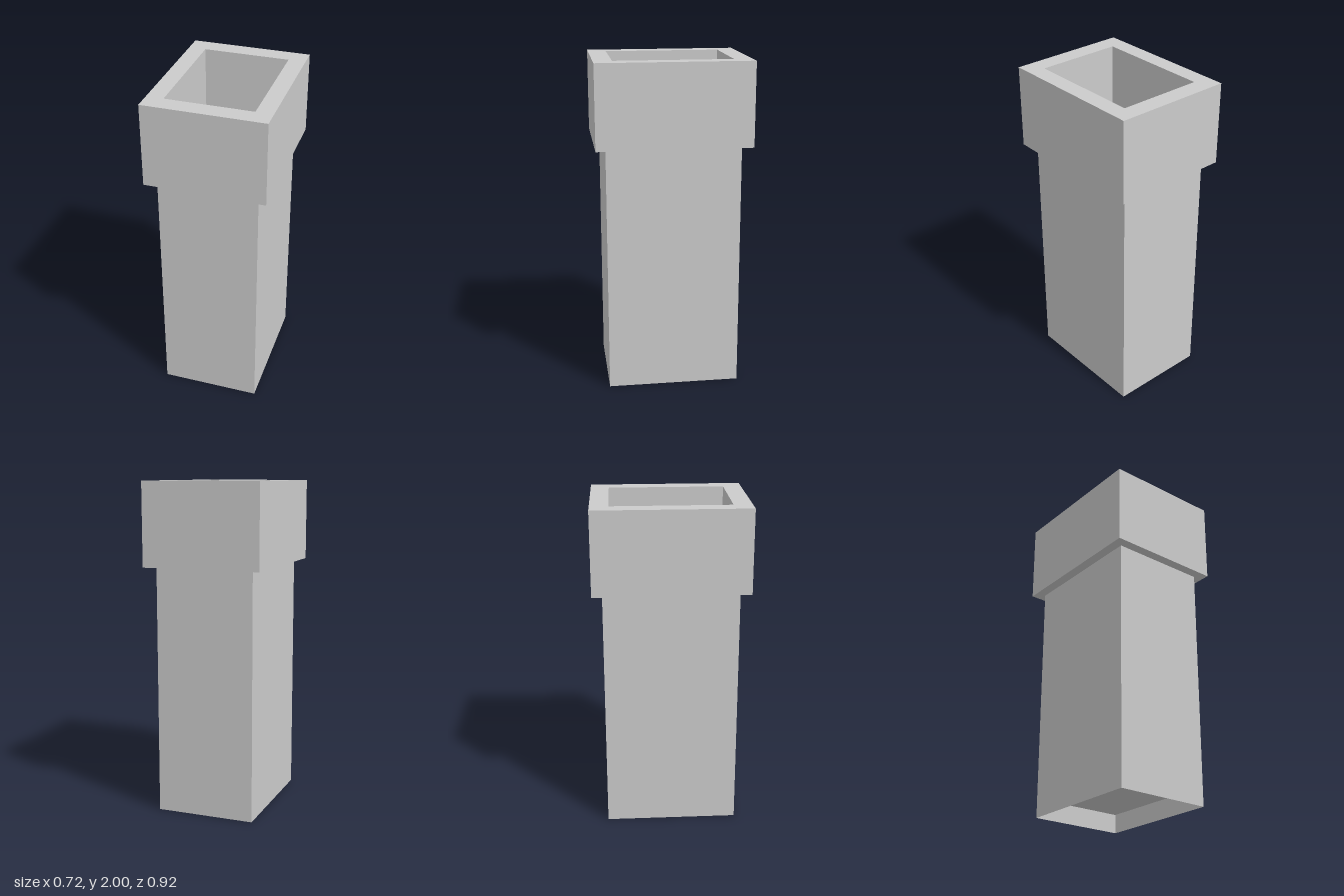
import * as THREE from 'three';

const material = new THREE.MeshStandardMaterial({ color: 0xcccccc, flatShading: true, side: THREE.DoubleSide });

// Joins rectangular sections [halfX, y, halfZ] in order into a faceted open shell
function shell(name, sections) {
  const ring = ([x, y, z]) => [[x, y, z], [x, y, -z], [-x, y, -z], [-x, y, z]];
  const points = [];
  for (let s = 0; s < sections.length - 1; s++) {
    const a = ring(sections[s]);
    const b = ring(sections[s + 1]);
    for (let i = 0; i < 4; i++) {
      const j = (i + 1) % 4;
      points.push(...a[i], ...a[j], ...b[j], ...a[i], ...b[j], ...b[i]);
    }
  }
  const geometry = new THREE.BufferGeometry();
  geometry.setAttribute('position', new THREE.Float32BufferAttribute(points, 3));
  geometry.computeVertexNormals();
  const mesh = new THREE.Mesh(geometry, material);
  mesh.name = name;
  return mesh;
}

export function createModel() {
  const group = new THREE.Group();
  group.name = 'chimney';

  // Straight shaft, open underneath
  group.add(shell('shaft', [[0.3, 0, 0.4], [0.3, 1.5, 0.4]]));

  // Overhanging cap: underside ledge, sides and top rim
  group.add(shell('cap', [[0.3, 1.5, 0.4], [0.36, 1.5, 0.46], [0.36, 2, 0.46], [0.258, 2, 0.35]]));

  // Inner flue running down from the rim
  group.add(shell('flue', [[0.258, 2, 0.35], [0.258, 0.1, 0.35]]));

  // Floor closing the flue
  const floor = new THREE.Mesh(new THREE.PlaneGeometry(0.516, 0.7).rotateX(-Math.PI / 2), material);
  floor.name = 'flueFloor';
  floor.position.y = 0.1;
  group.add(floor);

  return group;
}
